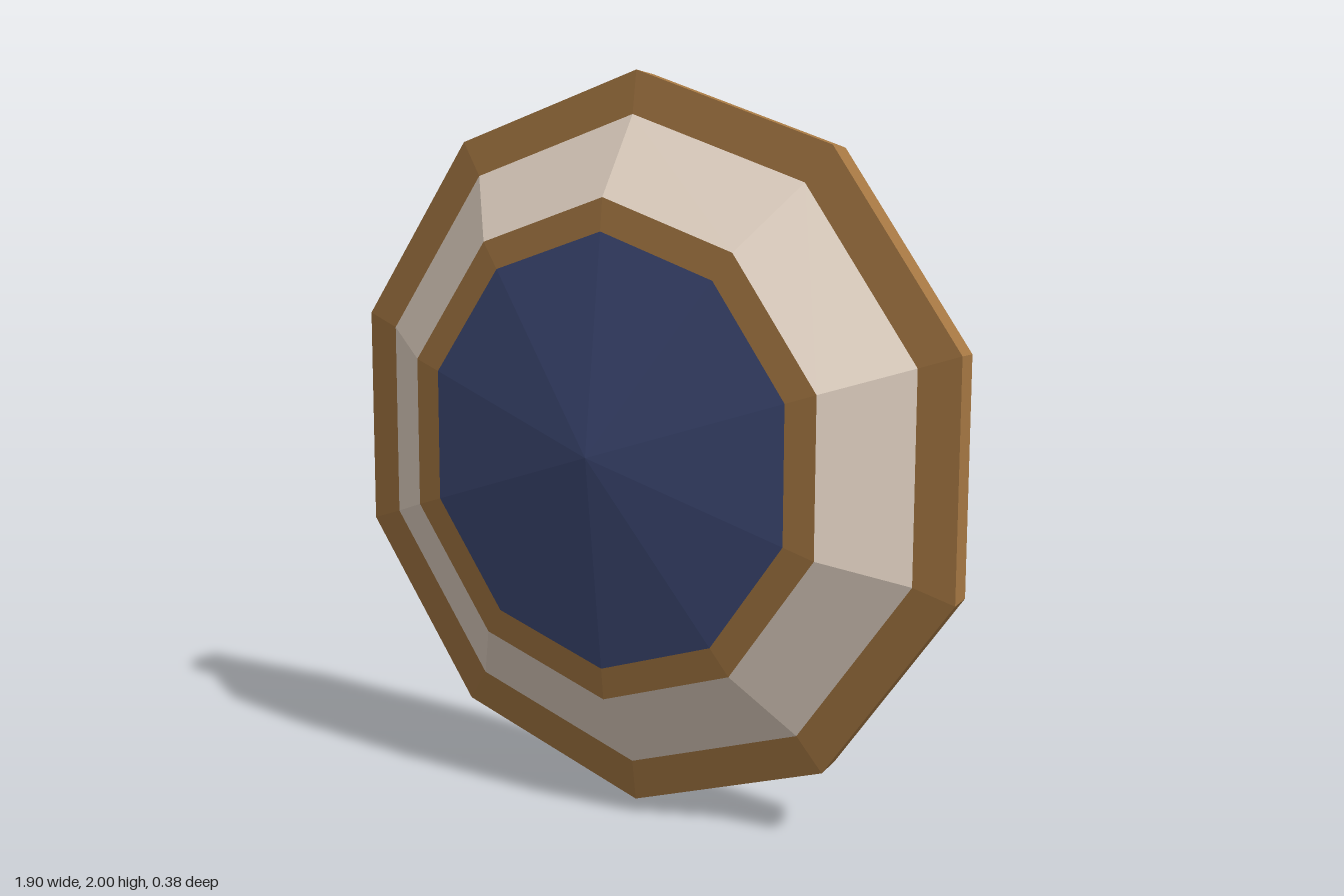
import * as THREE from 'three';

const SIDES = 10;
const mat = (color) => new THREE.MeshStandardMaterial({ color, flatShading: true });

// Ten-sided ring or disc; profile points are [radius, z], running from back to front
function turned(name, profile, material) {
  const points = profile.map(([r, z]) => new THREE.Vector2(r, z));
  const geometry = new THREE.LatheGeometry(points, SIDES);
  geometry.rotateX(Math.PI / 2).translate(0, 1, 0);
  const mesh = new THREE.Mesh(geometry, material);
  mesh.name = name;
  return mesh;
}

// Bent strap: a tapered four-cornered section carried along a [y, z] path
function strapGeometry(path) {
  const depth = 0.04, inner = 0.052, outer = 0.035;
  const pos = [], index = [];
  for (const [y, z] of path) {
    pos.push(inner, y, z + depth, -inner, y, z + depth, -outer, y, z, outer, y, z);
  }
  for (let i = 0; i < path.length - 1; i++) {
    for (let j = 0; j < 4; j++) {
      const a = i * 4 + j, b = i * 4 + ((j + 1) % 4);
      index.push(a, a + 4, b, b, a + 4, b + 4);
    }
  }
  const e = (path.length - 1) * 4;
  index.push(0, 1, 2, 0, 2, 3, e, e + 2, e + 1, e, e + 3, e + 2);
  const geometry = new THREE.BufferGeometry();
  geometry.setAttribute('position', new THREE.Float32BufferAttribute(pos, 3));
  geometry.setIndex(index);
  geometry.computeVertexNormals();
  return geometry;
}

export function createModel() {
  const model = new THREE.Group();
  model.name = 'shield';
  const wood = mat(0xa67843);

  // Recessed back board and thick outer rim
  model.add(turned('backBoard', [[0, -0.09], [0.8, -0.09]], mat(0x4a3a2e)));
  model.add(turned('outerRim',
    [[0.8, -0.09], [0.89, -0.142], [0.99, -0.122], [1, -0.045], [0.885, -0.028]], wood));

  // Sloped pale band, narrow inner ring and shallow domed centre
  model.add(turned('paleBand', [[0.885, -0.028], [0.673, 0.11]], mat(0xe8d8c8)));
  model.add(turned('innerRing', [[0.673, 0.11], [0.585, 0.12]], wood));
  model.add(turned('centreBoss', [[0.585, 0.12], [0, 0.19]], mat(0x3f4b78)));

  // Pair of bent straps on the back
  const strap = strapGeometry(
    [[0.72, -0.126], [0.857, -0.126], [1, -0.19], [1.143, -0.126], [1.28, -0.126]]);
  const strapMaterial = mat(0x664b34);
  for (const side of [-1, 1]) {
    const mesh = new THREE.Mesh(strap, strapMaterial);
    mesh.name = side > 0 ? 'leftHandle' : 'rightHandle';
    mesh.position.x = side * 0.255;
    model.add(mesh);
  }
  return model;
}
